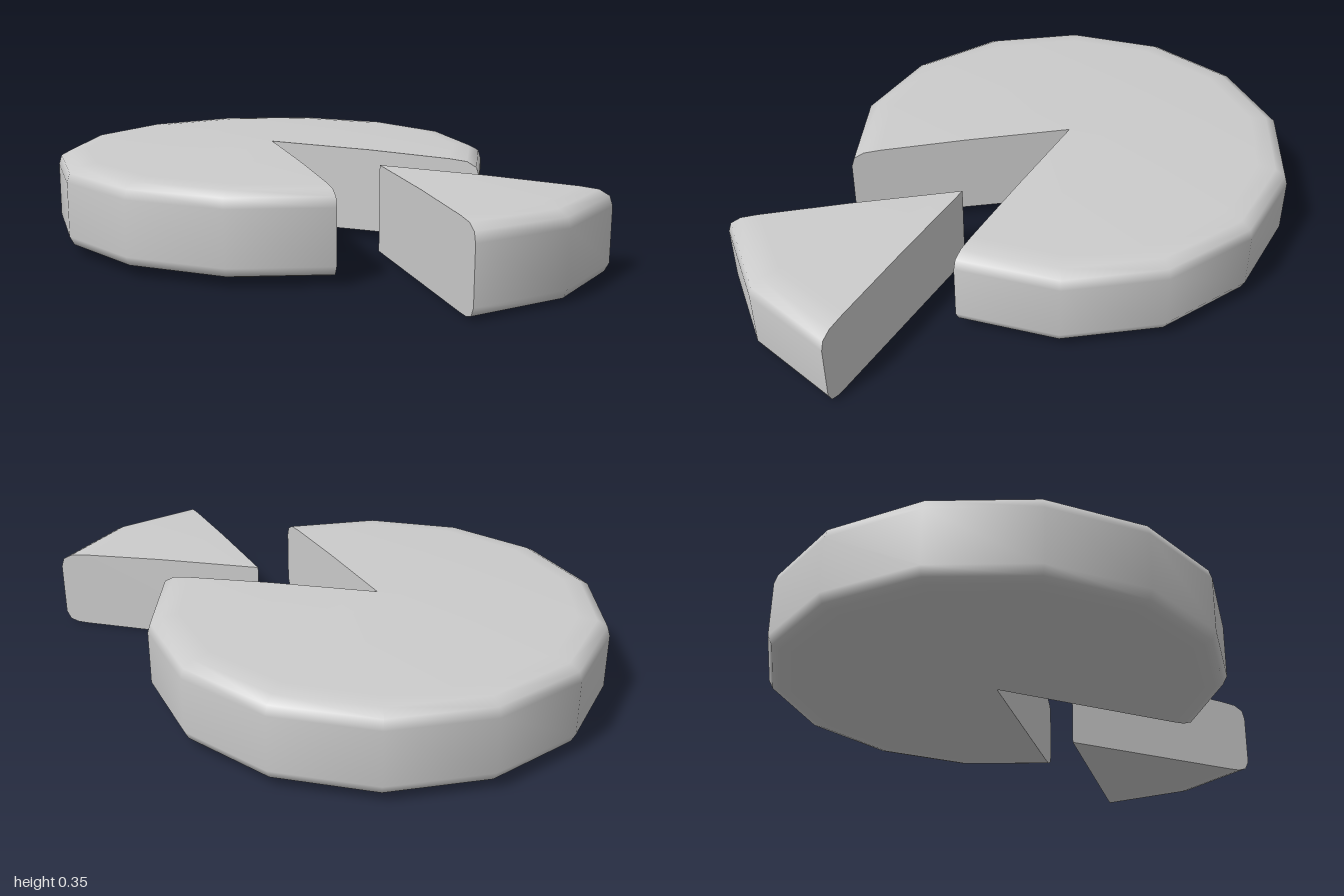
import * as THREE from 'three';

const SIDES = 14;
const STEP = (Math.PI * 2) / SIDES;

// Half cross-section (radius, height): flat base, rounded rim, slightly domed top
const PROFILE = [
  [0, 0], [0.74, 0], [0.785, 0.002], [0.817, 0.013], [0.833, 0.045],
  [0.833, 0.245], [0.822, 0.28], [0.785, 0.3], [0.72, 0.306], [0.4, 0.318], [0, 0.325],
].map(([r, y]) => new THREE.Vector2(r, y));

// A sector of the disc, closed by a flat cut face at each end
function sector(name, start, segments, material, cutMaterial) {
  const group = new THREE.Group();
  group.name = name;

  const body = new THREE.Mesh(
    new THREE.LatheGeometry(PROFILE, segments, start, segments * STEP), material);
  body.name = name + 'Body';
  group.add(body);

  [start, start + segments * STEP].forEach((phi, i) => {
    const cut = new THREE.Mesh(new THREE.ShapeGeometry(new THREE.Shape(PROFILE)), cutMaterial);
    cut.name = name + (i ? 'EndCut' : 'StartCut');
    cut.rotation.y = phi - Math.PI / 2;
    group.add(cut);
  });
  return group;
}

export function createModel() {
  const model = new THREE.Group();
  model.name = 'slicedDisc';
  const material = new THREE.MeshStandardMaterial({ color: 0xcccccc });
  const cutMaterial = new THREE.MeshStandardMaterial({ color: 0xcccccc, side: THREE.DoubleSide });

  // Large disc with a two-sided wedge missing
  const disc = sector('disc', 2.5 * STEP, SIDES - 2, material, cutMaterial);
  disc.position.set(-0.15, 0.028, -0.19);

  // The wedge, pulled out and set slightly lower
  const slice = sector('slice', 0.5 * STEP, 2, material, cutMaterial);
  slice.position.set(0.23, 0, 0.18);

  model.add(disc, slice);
  return model;
}
